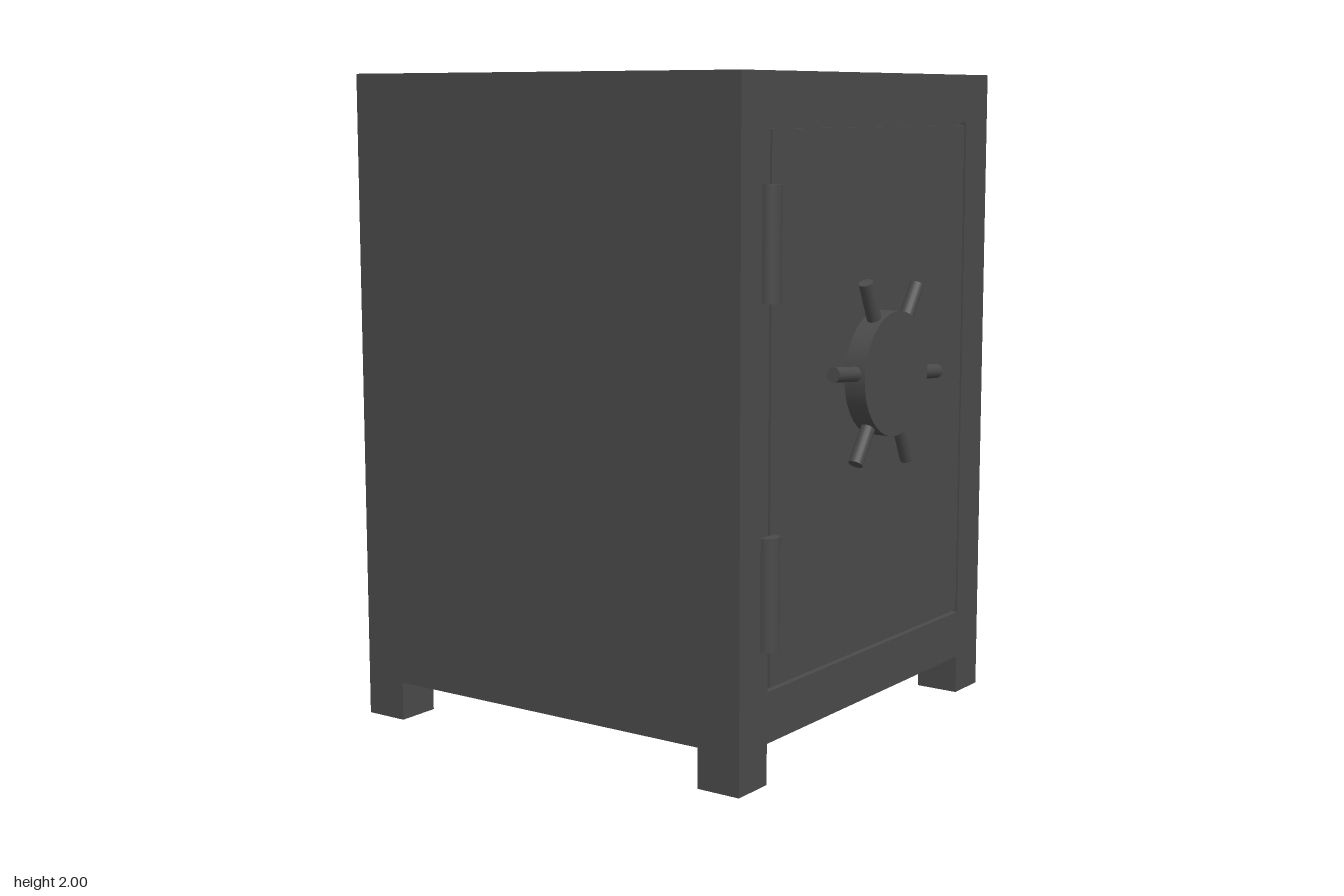
import * as THREE from 'three';

const STEEL = new THREE.MeshStandardMaterial({ color: 0x4a4a4a });

function add(parent, name, geometry, x, y, z) {
  const mesh = new THREE.Mesh(geometry, STEEL);
  mesh.name = name;
  mesh.position.set(x, y, z);
  parent.add(mesh);
  return mesh;
}

// Rectangle corners centred on x = 0, from height y0 to y1
function rect(PathType, half, y0, y1) {
  const p = new PathType();
  p.moveTo(-half, y0);
  p.lineTo(half, y0);
  p.lineTo(half, y1);
  p.lineTo(-half, y1);
  p.closePath();
  return p;
}

export function createModel() {
  const safe = new THREE.Group();
  safe.name = 'safe';

  const left = -0.745, face = 0.662, halfZ = 0.705;
  const bottom = 0.12, top = 2, recess = 0.02;

  // Body core, with a door frame on the +x side
  const coreLength = face - recess - left;
  add(safe, 'body', new THREE.BoxGeometry(coreLength, top - bottom, halfZ * 2),
    left + coreLength / 2, (top + bottom) / 2, 0);

  const frameShape = rect(THREE.Shape, halfZ, bottom, top);
  frameShape.holes.push(rect(THREE.Path, 0.564, 0.27, 1.853));
  const frameGeometry = new THREE.ExtrudeGeometry(frameShape, { depth: recess, bevelEnabled: false });
  frameGeometry.rotateY(Math.PI / 2);
  add(safe, 'doorFrame', frameGeometry, face - recess, 0, 0);

  // Door, leaving a thin groove all round
  add(safe, 'door', new THREE.BoxGeometry(recess, 1.563, 1.108), face - recess / 2, 1.0615, 0);

  // Corner feet
  const foot = 0.14;
  for (const x of [left + foot / 2, face - foot / 2]) {
    for (const side of [-1, 1]) {
      add(safe, 'foot', new THREE.BoxGeometry(foot, bottom, foot), x, bottom / 2, side * (halfZ - foot / 2));
    }
  }

  // Hinge barrels, half sunk into the face
  for (const y of [0.556, 1.532]) {
    add(safe, 'hinge', new THREE.CylinderGeometry(0.035, 0.035, 0.324, 24), face, y, 0.566);
  }

  // Handwheel turning about the x axis
  const wheel = new THREE.Group();
  wheel.name = 'handwheel';
  wheel.position.set(0, 1.12, 0);
  safe.add(wheel);

  const shaft = add(wheel, 'wheelShaft', new THREE.CylinderGeometry(0.054, 0.054, 0.06, 24), 0.67, 0, 0);
  const disc = add(wheel, 'wheelDisc', new THREE.CylinderGeometry(0.186, 0.186, 0.068, 48), 0.711, 0, 0);
  shaft.rotation.z = disc.rotation.z = -Math.PI / 2;

  // Six spokes, tilted slightly off level
  for (let i = 0; i < 6; i++) {
    const spoke = new THREE.Group();
    spoke.name = 'spoke';
    spoke.position.x = 0.711;
    spoke.rotation.x = THREE.MathUtils.degToRad(25 + i * 60);
    add(spoke, 'spokeBar', new THREE.CylinderGeometry(0.022, 0.022, 0.165, 16), 0, 0.223, 0);
    wheel.add(spoke);
  }

  return safe;
}
